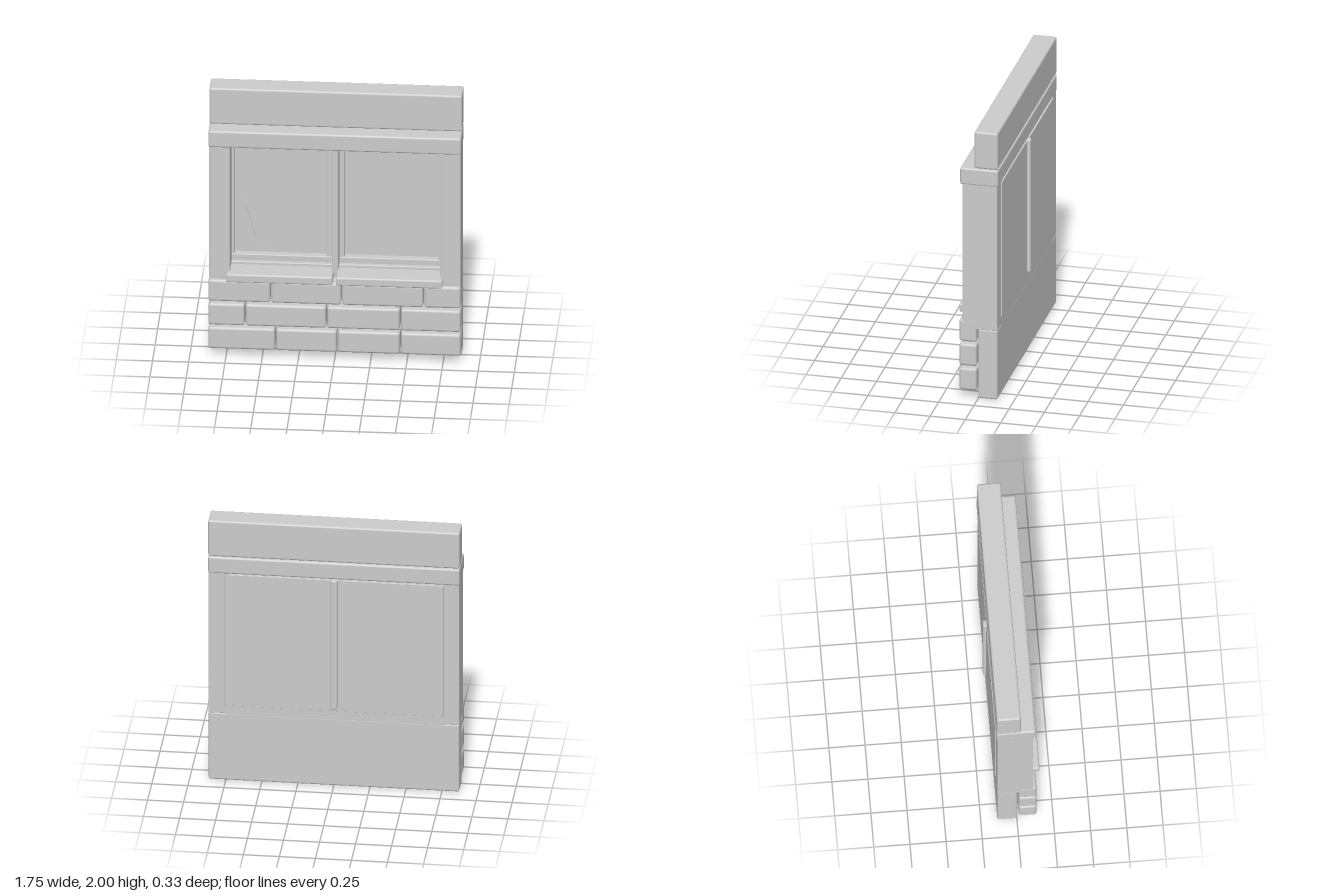
import * as THREE from 'three';
import { RoundedBoxGeometry } from 'three/addons/geometries/RoundedBoxGeometry.js';

export function createModel() {
  const model = new THREE.Group();
  model.name = 'windowWall';
  const grey = new THREE.MeshStandardMaterial({ color: 0xcccccc });
  grey.name = 'plain grey';

  // Box with softened edges, given by its limits on each axis
  function block(name, [x0, x1], [y0, y1], [z0, z1], radius = 0.014) {
    const w = x1 - x0, h = y1 - y0, d = z1 - z0;
    const r = Math.min(radius, Math.min(w, h, d) * 0.35);
    const mesh = new THREE.Mesh(new RoundedBoxGeometry(w, h, d, 2, r), grey);
    mesh.position.set((x0 + x1) / 2, (y0 + y1) / 2, (z0 + z1) / 2);
    mesh.name = name;
    model.add(mesh);
    return mesh;
  }

  // Main wall parts
  block('topBeam', [-0.873, 0.873], [1.725, 2], [-0.138, 0.028]);
  block('lintel', [-0.873, 0.873], [1.595, 1.72], [-0.14, 0.13]);
  block('baseWall', [-0.87, 0.87], [0, 0.52], [-0.135, 0.003]);
  block('apron', [-0.75, 0.75], [0.48, 0.6], [-0.134, 0.003], 0.003);
  for (const s of [-1, 1]) {
    const xs = s < 0 ? [-0.87, -0.725] : [0.725, 0.87];
    block(s < 0 ? 'rightPost' : 'leftPost', xs, [0.515, 1.605], [-0.134, 0.113], 0.006);
  }

  // Brick courses: joints along x for each row
  const rows = [
    [0.052, 0.216, [-0.877, -0.409, 0.018, 0.454, 0.875]],
    [0.234, 0.398, [-0.877, -0.619, -0.056, 0.454, 0.875]],
    [0.416, 0.58, [-0.877, -0.442, 0.048, 0.616, 0.875]],
  ];
  for (const [y0, y1, joints] of rows) {
    for (let i = 0; i < 4; i++) {
      block('brick', [joints[i] + 0.004, joints[i + 1] - 0.004], [y0, y1], [0.013, 0.136], 0.018);
    }
  }

  // Sills either side of the central mullion
  block('rightSill', [-0.75, -0.013], [0.58, 0.642], [-0.03, 0.167], 0.012);
  block('leftSill', [0.01, 0.746], [0.58, 0.642], [-0.03, 0.167], 0.012);
  block('mullion', [-0.026, 0.02], [0.602, 1.597], [-0.166, 0.05], 0.01);

  // Window frames and panes
  const openings = [
    { side: 'right', x0: -0.725, x1: -0.026, left: 0.022, right: 0.042 },
    { side: 'left', x0: 0.02, x1: 0.725, left: 0.037, right: 0.024 },
  ];
  for (const { side, x0, x1, left, right } of openings) {
    block(side + 'FrameBottom', [x0, x1], [0.59, 0.705], [-0.1, -0.03], 0.006);
    block(side + 'FrameLip', [x0, x1], [0.59, 0.662], [-0.05, 0.0], 0.006);
    block(side + 'FrameTop', [x0, x1], [1.545, 1.6], [-0.1, -0.03], 0.006);
    block(side + 'FrameStile', [x0, x0 + left], [0.69, 1.56], [-0.1, -0.035], 0.005);
    block(side + 'FrameStile', [x1 - right, x1], [0.69, 1.56], [-0.1, -0.035], 0.005);
  }
  block('rightPane', [-0.76, -0.003], [0.58, 1.59], [-0.144, -0.08], 0.002);
  block('leftPane', [-0.003, 0.76], [0.58, 1.59], [-0.142, -0.08], 0.002);

  // Broken glass left in two corners
  const shards = [
    [[-0.255, 1.537], [-0.155, 1.42], [-0.07, 1.355], [-0.07, 1.537]],
    [[-0.692, 1.14], [-0.692, 0.715], [-0.435, 0.715], [-0.555, 0.805], [-0.63, 1.08]],
  ];
  for (const points of shards) {
    const shape = new THREE.Shape(points.map(([x, y]) => new THREE.Vector2(x, y)));
    const mesh = new THREE.Mesh(
      new THREE.ExtrudeGeometry(shape, { depth: 0.009, bevelEnabled: false }), grey);
    mesh.position.z = -0.08;
    mesh.name = 'glassShard';
    model.add(mesh);
  }
  return model;
}
